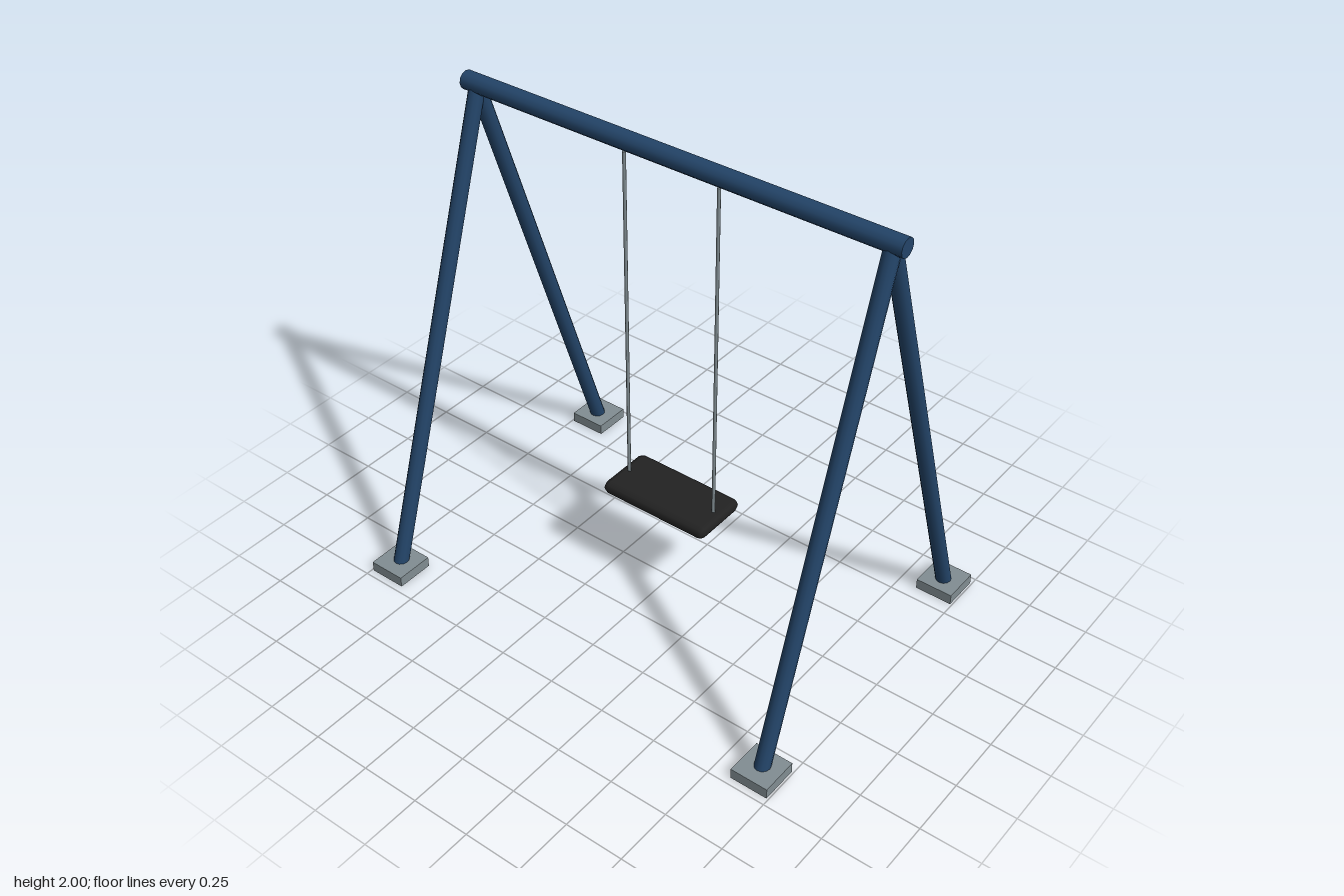
import * as THREE from 'three';
import { RoundedBoxGeometry } from 'three/addons/geometries/RoundedBoxGeometry.js';

const material = (name, color) => {
  const m = new THREE.MeshStandardMaterial({ color });
  m.name = name;
  return m;
};

export function createModel() {
  const group = new THREE.Group();
  group.name = 'swingSet';
  const blue = material('navy paint', 0x234468);
  const grey = material('grey steel', 0x818d92);
  const black = material('black rubber', 0x222222);

  const add = (name, geometry, mat, x, y, z) => {
    const mesh = new THREE.Mesh(geometry, mat);
    mesh.name = name;
    mesh.position.set(x, y, z);
    group.add(mesh);
    return mesh;
  };

  // Round bar between two points
  const bar = (name, a, b, radius, sides, mat) => {
    const dir = b.clone().sub(a);
    const mid = a.clone().add(b).multiplyScalar(0.5);
    const mesh = add(name, new THREE.CylinderGeometry(radius, radius, dir.length(), sides), mat, mid.x, mid.y, mid.z);
    mesh.quaternion.setFromUnitVectors(new THREE.Vector3(0, 1, 0), dir.normalize());
  };
  const v = (x, y, z) => new THREE.Vector3(x, y, z);

  // Top beam
  bar('topBeam', v(-0.965, 1.962, 0), v(0.965, 1.962, 0), 0.038, 12, blue);

  for (const sx of [-1, 1]) {
    const side = sx > 0 ? 'left' : 'right';
    // Splayed legs on square feet
    for (const sz of [-1, 1]) {
      const end = sz > 0 ? 'Front' : 'Back';
      bar(`${side}${end}Leg`, v(sx * 0.912, 0.025, sz * 0.64), v(sx * 0.912, 1.95, 0), 0.032, 12, blue);
      add(`${side}${end}Foot`, new THREE.BoxGeometry(0.16, 0.045, 0.16), grey, sx * 0.912, 0.0225, sz * 0.64);
    }
    // Hanging rod
    bar(`${side}Rod`, v(sx * 0.21, 0.44, 0), v(sx * 0.21, 1.915, 0), 0.007, 8, grey);
  }

  // Seat with softened edges
  add('seat', new RoundedBoxGeometry(0.5, 0.055, 0.255, 1, 0.027), black, 0, 0.431, 0);

  return group;
}
